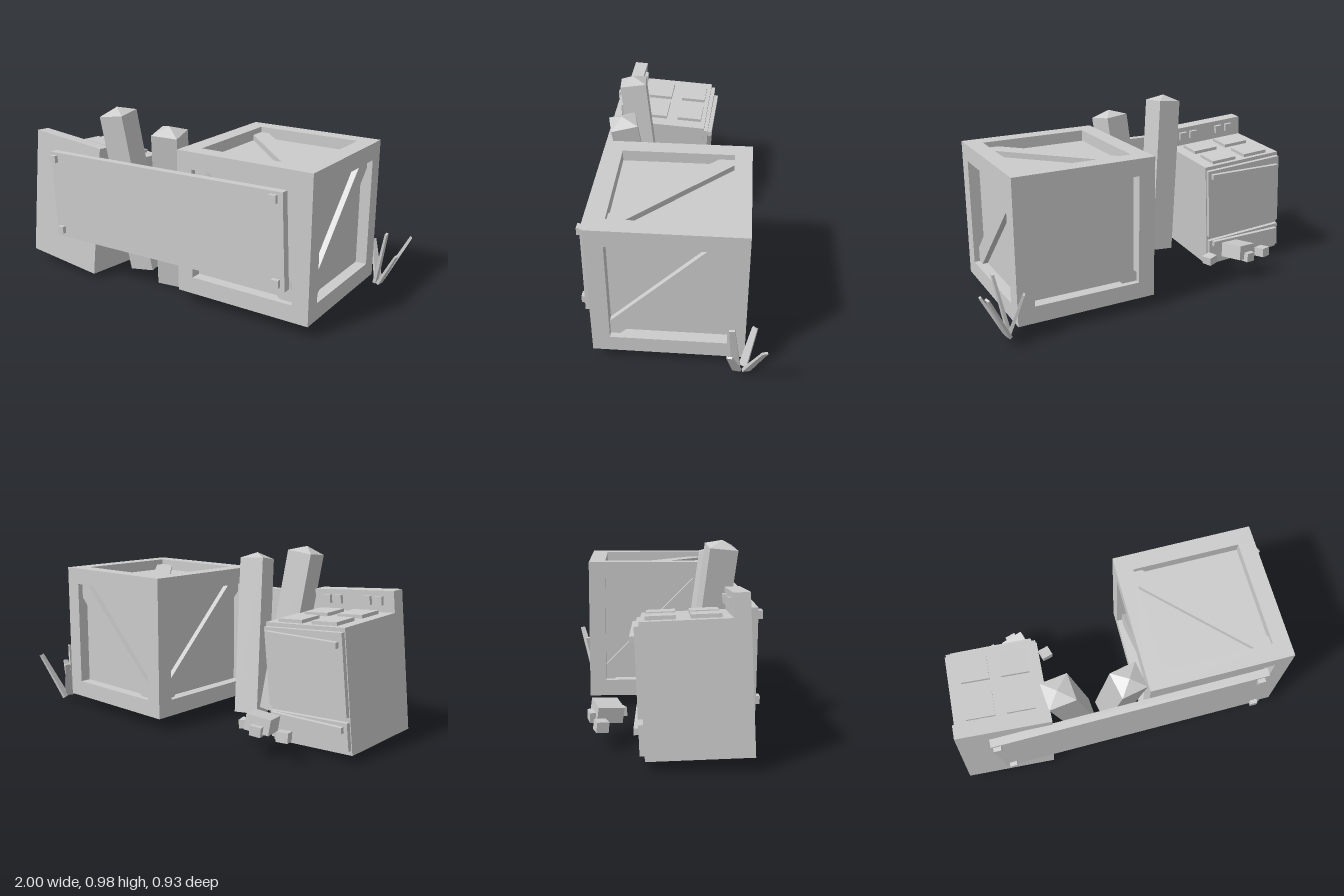
import * as THREE from 'three';

const material = new THREE.MeshStandardMaterial({ color: 0xcccccc, flatShading: true });
const UP = new THREE.Vector3(0, 1, 0);

function add(parent, name, geometry, x = 0, y = 0, z = 0, rx = 0, ry = 0, rz = 0) {
  const mesh = new THREE.Mesh(geometry, material);
  mesh.name = name;
  mesh.position.set(x, y, z);
  mesh.rotation.set(rx, ry, rz);
  parent.add(mesh);
  return mesh;
}

function group(parent, name) {
  const g = new THREE.Group();
  g.name = name;
  parent.add(g);
  return g;
}

const box = (w, h, d) => new THREE.BoxGeometry(w, h, d);

// Group standing at base, its y axis aimed at tip
function aimed(parent, name, base, tip, yaw) {
  const g = group(parent, name);
  const from = new THREE.Vector3(...base);
  const dir = new THREE.Vector3(...tip).sub(from);
  const length = dir.length();
  g.position.copy(from);
  g.quaternion.setFromUnitVectors(UP, dir.normalize())
    .multiply(new THREE.Quaternion().setFromAxisAngle(UP, yaw));
  return { g, length };
}

// Wooden crate: edge beams, recessed core and one diagonal brace per face
function makeCrate(parent) {
  const crate = group(parent, 'crate');
  crate.position.set(0.43, 0.445, 0.02);
  const size = 0.76, beam = 0.09, recess = 0.06;
  const off = (size - beam) / 2, inner = size - 2 * beam;
  add(crate, 'crateCore', box(size - 2 * recess, size - 2 * recess, size - 2 * recess));
  for (const a of [-off, off]) {
    for (const b of [-off, off]) {
      add(crate, 'crateUprightBeam', box(beam, size, beam), a, 0, b);
      add(crate, 'crateCrossBeam', box(inner, beam, beam), 0, a, b);
      add(crate, 'crateSideBeam', box(beam, beam, inner), a, b, 0);
    }
  }
  const q = Math.PI / 2;
  const faces = [[0, 0, -1], [0, q, 1], [0, 2 * q, -1], [0, -q, 1], [-q, 0, -1], [q, 0, -1]];
  for (const [rx, ry, sign] of faces) {
    const face = group(crate, 'crateFace');
    face.rotation.set(rx, ry, 0);
    const brace = box(0.9, 0.092, 0.03).translate(0, 0.012 * sign, 0);
    add(face, 'diagonalBrace', brace, 0, 0, size / 2 - recess + 0.015, 0, 0, sign * Math.PI / 4);
  }
}

// Leaning cooker, its door turned to the back
function makeStove(parent) {
  const stove = group(parent, 'stove');
  stove.position.set(-0.75, 0.035, 0.18);
  stove.rotation.set(-0.045, -0.045, -0.08);
  add(stove, 'stoveBody', box(0.49, 0.62, 0.49), 0, 0.31, 0);
  add(stove, 'backPanel', box(0.49, 0.11, 0.075), 0, 0.675, 0.2075);
  add(stove, 'ovenDoor', box(0.48, 0.41, 0.025), 0, 0.395, -0.255);
  add(stove, 'drawer', box(0.48, 0.14, 0.025), 0, 0.095, -0.255);
  add(stove, 'doorHandle', box(0.44, 0.03, 0.03), 0, 0.555, -0.275, 0, 0, 0.06);
  add(stove, 'drawerHandle', box(0.44, 0.03, 0.03), 0, 0.14, -0.275, 0, 0, 0.04);
  for (const x of [-0.105, 0.105]) {
    for (const z of [-0.15, 0.055]) add(stove, 'burner', box(0.15, 0.02, 0.14), x, 0.628, z);
  }
  for (const x of [-0.16, -0.09, 0.09, 0.16]) {
    add(stove, 'knob', box(0.045, 0.045, 0.02), x, 0.68, 0.162);
  }
}

// Square post with a low pyramid cap
function makePost(parent, base, tip, yaw) {
  const { g, length } = aimed(parent, 'post', base, tip, yaw);
  const w = 0.142;
  add(g, 'postShaft', box(w, length, w), 0, length / 2, 0);
  const cap = new THREE.ConeGeometry(w / Math.SQRT2, 0.035, 4, 1, true).rotateY(Math.PI / 4);
  add(g, 'postCap', cap, 0, length + 0.0175, 0);
}

// Skewed board with a bolt at each corner
function makeBoard(parent) {
  const board = group(parent, 'signBoard');
  const corners = [[-0.77, 0.21], [0.705, 0.235], [0.68, 0.725], [-0.79, 0.7]];
  const shape = new THREE.Shape(corners.map(([x, y]) => new THREE.Vector2(x, y)));
  add(board, 'board', new THREE.ExtrudeGeometry(shape, { depth: 0.043, bevelEnabled: false }), 0, 0, 0.402);
  for (const [x, y] of [[-0.73, 0.255], [0.66, 0.275], [0.635, 0.69], [-0.76, 0.665]]) {
    add(board, 'bolt', box(0.04, 0.04, 0.03), x, y, 0.452, 0, 0, 0.03);
  }
}

// Stiff grass blades spreading from one spot
function makeGrass(parent) {
  const grass = group(parent, 'grassTuft');
  const blades = [
    [[0.865, 0.035, -0.37], [0.985, 0.29, -0.45], 0.3],
    [[0.85, 0.045, -0.32], [0.905, 0.34, -0.293], 0],
    [[0.87, 0.04, -0.325], [0.97, 0.23, -0.285], -0.2],
    [[0.85, 0.05, -0.355], [0.79, 0.255, -0.405], -0.5],
  ];
  for (const [base, tip, yaw] of blades) {
    const { g, length } = aimed(grass, 'grassBlade', base, tip, yaw);
    const blade = new THREE.CylinderGeometry(0.02, 0.03, length, 4).rotateY(Math.PI / 4).scale(0.4, 1, 1);
    add(g, 'blade', blade, 0, length / 2, 0);
  }
}

export function createModel() {
  const model = new THREE.Group();
  model.name = 'junkBarricade';
  makeCrate(model);
  makeStove(model);
  makePost(model, [-0.295, 0.065, 0.22], [-0.395, 0.943, 0.32], 0.1);
  makePost(model, [-0.115, 0.015, 0.21], [-0.045, 0.885, 0.332], 0.22);
  makeBoard(model);
  makeGrass(model);

  // Rubble by the oven drawer
  const rubble = group(model, 'rubble');
  add(rubble, 'largeStone', box(0.13, 0.08, 0.13), -0.57, 0.16, -0.25, 0.1, 0.3, 0.1);
  add(rubble, 'smallStone', box(0.06, 0.05, 0.06), -0.725, 0.13, -0.275, 0.1, 0.3, 0);
  add(rubble, 'smallStone', box(0.06, 0.05, 0.06), -0.59, 0.14, -0.31, 0, 0.25, 0.1);
  add(rubble, 'smallStone', box(0.06, 0.045, 0.06), -0.418, 0.11, -0.19, 0, 0.3, -0.1);
  return model;
}
